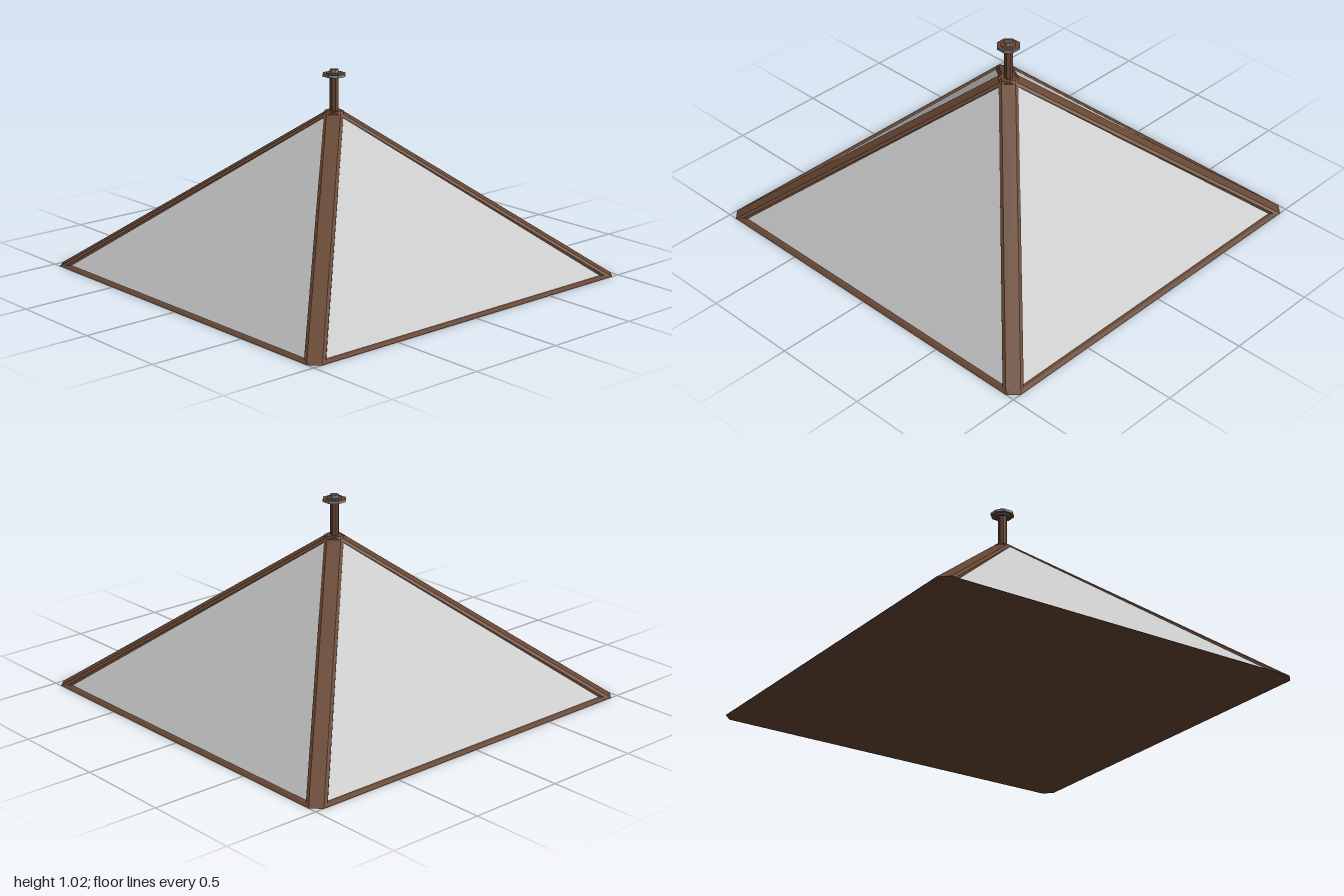
import * as THREE from 'three';

const wood = new THREE.MeshStandardMaterial({ name: 'brown wood', color: 0x684734, flatShading: true });
const panelGrey = new THREE.MeshStandardMaterial({ name: 'panel grey', color: 0xc6c6c6, flatShading: true, side: THREE.DoubleSide });
const metal = new THREE.MeshStandardMaterial({ name: 'metal grey', color: 0x8c8c8c, flatShading: true });

// Skins a list of equally long cross-sections
function loft(sections) {
  const n = sections[0].length;
  const index = [];
  for (let s = 0; s < sections.length - 1; s++) {
    for (let i = 0; i < n - 1; i++) {
      const a = s * n + i, b = a + 1, c = a + n, d = c + 1;
      index.push(a, c, b, b, c, d);
    }
  }
  const g = new THREE.BufferGeometry();
  g.setAttribute('position', new THREE.Float32BufferAttribute(sections.flat(2), 3));
  g.setIndex(index);
  g.computeVertexNormals();
  return g;
}

function add(parent, name, geometry, material) {
  const mesh = new THREE.Mesh(geometry, material);
  mesh.name = name;
  parent.add(mesh);
  return mesh;
}

// Chamfered hip beam running down +z, cut flat at the top and at the ground
function hipBeamGeometry() {
  const ridge = 0.836, slope = 0.605, cap = 0.82;
  const profile = [[-0.048, -0.04], [-0.048, -0.012], [-0.034, 0], [0.034, 0], [0.048, -0.012], [0.048, -0.04]];
  const at = (u) => profile.map(([v, dy]) => [v, Math.min(cap, ridge + dy - slope * u), u]);
  const foot = profile.map(([v, dy]) => [v, 0, (ridge + dy) / slope]);
  return loft([at(0), at((ridge - cap) / slope), foot]);
}

// Low bevelled trim along one eave, facing +z
function eaveGeometry() {
  const profile = [[1, 0], [1, 0.001], [0.984, 0.01], [0.968, 0.01], [0.968, 0]];
  const at = (x) => profile.map(([z, y]) => [x, y, z]);
  return loft([at(-0.957), at(0.957)]);
}

function panelGeometry() {
  const g = new THREE.BufferGeometry();
  g.setAttribute('position', new THREE.Float32BufferAttribute(
    [-0.935, 0.008, 0.97, 0.935, 0.008, 0.97, 0, 0.808, 0.05], 3));
  g.computeVertexNormals();
  return g;
}

export function createModel() {
  const roof = new THREE.Group();
  roof.name = 'pyramidRoof';

  // Four identical sides, each with a panel, an eave and a hip beam
  const hip = hipBeamGeometry(), eave = eaveGeometry(), panel = panelGeometry();
  for (let k = 0; k < 4; k++) {
    const side = new THREE.Group();
    side.name = 'roofSide' + (k + 1);
    side.rotation.y = k * Math.PI / 2;
    add(side, 'roofPanel', panel, panelGrey);
    add(side, 'eaveTrim', eave, wood);
    add(side, 'hipBeam', hip, wood).rotation.y = Math.PI / 4;
    roof.add(side);
  }

  // Flat underside with clipped corners
  const c = 0.957;
  const outline = [[1, -c], [1, c], [c, 1], [-c, 1], [-1, c], [-1, -c], [-c, -1], [c, -1]];
  const base = new THREE.ShapeGeometry(new THREE.Shape(outline.map(([x, y]) => new THREE.Vector2(x, y))));
  base.rotateX(Math.PI / 2);
  add(roof, 'underside', base, wood);

  // Finial: post, disc and small nut
  const turned = (name, r, y0, y1, material) => {
    const g = new THREE.CylinderGeometry(r, r, y1 - y0, 8);
    g.rotateY(Math.PI / 8);
    add(roof, name, g, material).position.y = (y0 + y1) / 2;
  };
  turned('finialPost', 0.023, 0.78, 0.99, wood);
  turned('finialDisc', 0.06, 0.992, 1.005, [metal, wood, wood]);
  turned('finialCollar', 0.04, 0.986, 1.01, [metal, wood, wood]);
  turned('finialNut', 0.023, 1.009, 1.025, [metal, wood, wood]);

  return roof;
}
